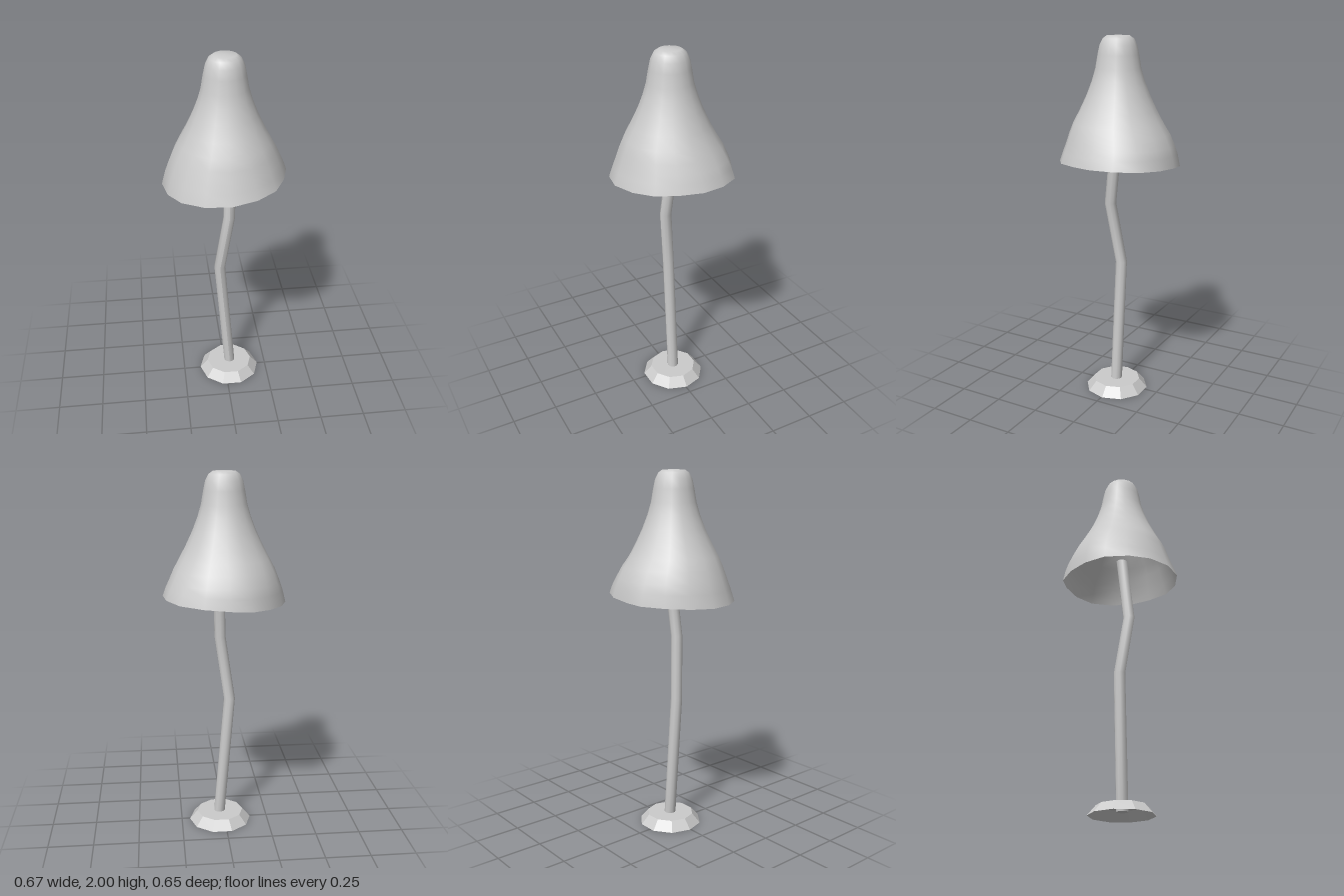
import * as THREE from 'three';
import { mergeVertices } from 'three/addons/utils/BufferGeometryUtils.js';

const material = (options = {}) => new THREE.MeshStandardMaterial({ color: 0xcccccc, ...options });

// Hollow ten-sided foot, open underneath
function createBase() {
  const profile = [[0.177, 0], [0.132, 0.052], [0, 0.052]].map(([r, y]) => new THREE.Vector2(r, y));
  const geometry = new THREE.LatheGeometry(profile, 10, Math.PI / 2);
  const base = new THREE.Mesh(geometry, material({ flatShading: true, side: THREE.DoubleSide }));
  base.name = 'base';
  base.position.set(0.026, 0, -0.005);
  return base;
}

// Crooked pole: each row of a cylinder is moved onto a path point
function createPole() {
  const path = [[0.031, 0.02, -0.004], [-0.029, 0.75, -0.004], [0.02, 1.1, 0.038], [0.031, 1.475, -0.006]];
  const geometry = new THREE.CylinderGeometry(0.032, 0.032, 3, 10, 3);
  const pos = geometry.attributes.position;
  for (let i = 0; i < pos.count; i++) {
    const [x, y, z] = path[Math.round(pos.getY(i) + 1.5)];
    pos.setXYZ(i, pos.getX(i) + x, y, pos.getZ(i) + z);
  }
  geometry.computeVertexNormals();
  const pole = new THREE.Mesh(geometry, material());
  pole.name = 'pole';
  return pole;
}

// Bell-shaped shade with an uneven, tilted rim and a closed top
function createShade() {
  const rim = [
    [0, 0.323], [0.137, 0.287], [0.24, 0.213], [0.3, 0.1],
    [0.333, -0.016], [0.315, -0.138], [0.25, -0.25], [0.13, -0.31],
    [-0.012, -0.326], [-0.114, -0.315], [-0.217, -0.235], [-0.295, -0.13],
    [-0.335, -0.01], [-0.31, 0.12], [-0.246, 0.222], [-0.135, 0.296],
  ];
  const profile = [
    [0.33, 1.325], [0.313, 1.385], [0.296, 1.43], [0.272, 1.49], [0.243, 1.545], [0.208, 1.61], [0.17, 1.69],
    [0.141, 1.765], [0.122, 1.83], [0.11, 1.9], [0.099, 1.95], [0.082, 1.983], [0.06, 1.998], [0, 2],
  ].map(([r, y]) => new THREE.Vector2(r, y));
  let geometry = new THREE.LatheGeometry(profile, rim.length);
  const pos = geometry.attributes.position;
  const rows = profile.length;
  for (let i = 0; i < pos.count; i++) {
    const row = i % rows;
    const [x, z] = rim[Math.floor(i / rows) % rim.length];
    // The rim's unevenness fades out up the shade, which bulges a little to the back
    const k = Math.max(0, 1 - row / 4);
    const s = profile[row].x / 0.33;
    const bulge = -0.008 * Math.sin(Math.PI * k);
    pos.setXYZ(
      i,
      THREE.MathUtils.lerp(pos.getX(i), x * s, k),
      pos.getY(i) + 0.07 * x * k * k,
      THREE.MathUtils.lerp(pos.getZ(i), z * s, k) + bulge,
    );
  }
  geometry.deleteAttribute('normal');
  geometry.deleteAttribute('uv');
  geometry = mergeVertices(geometry);
  geometry.computeVertexNormals();
  const shade = new THREE.Mesh(geometry, material({ side: THREE.DoubleSide }));
  shade.name = 'shade';
  return shade;
}

export function createModel() {
  const lamp = new THREE.Group();
  lamp.name = 'lamp';
  lamp.add(createBase(), createPole(), createShade());
  return lamp;
}
